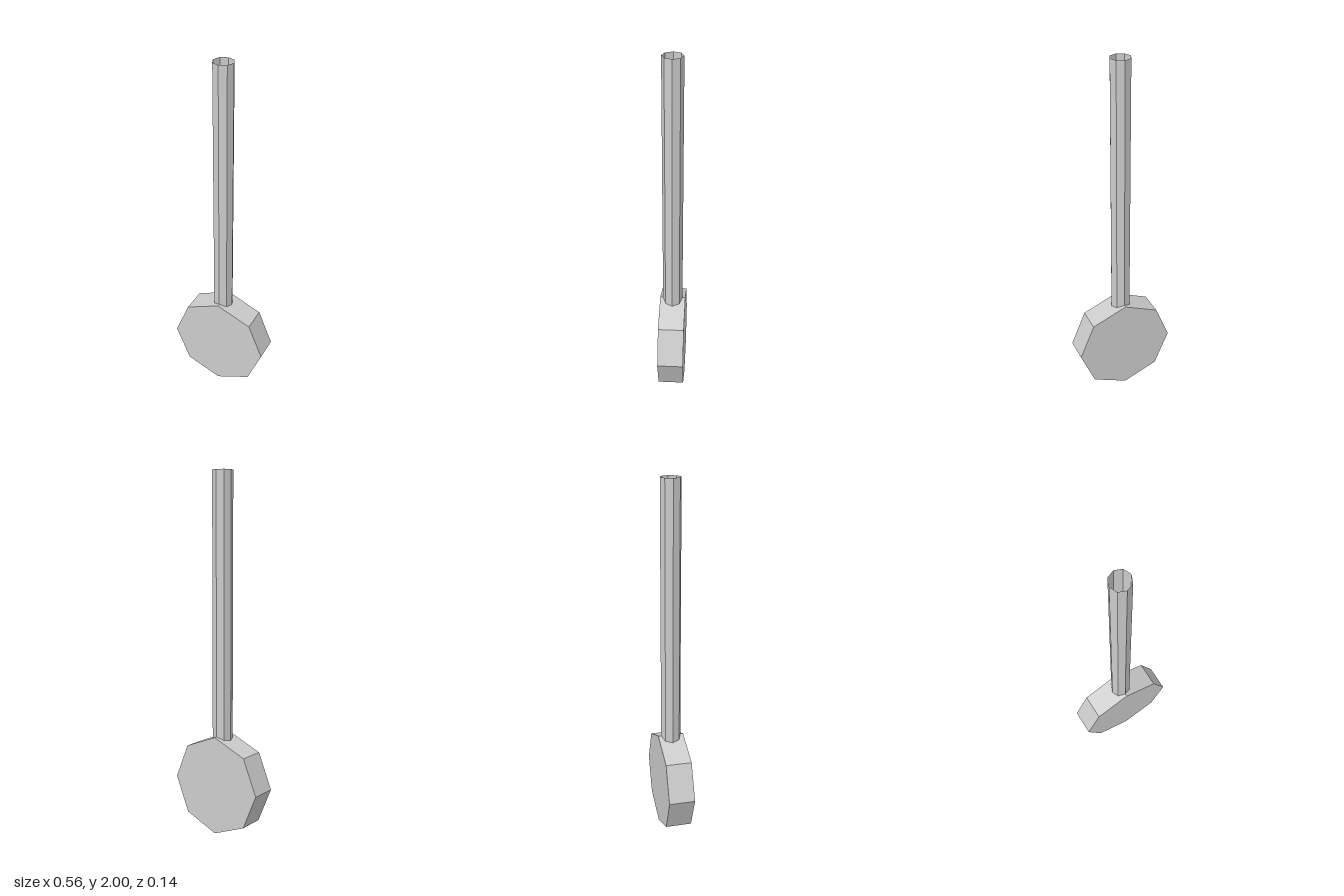
import * as THREE from 'three';

const SIDES = 8;

export function createModel() {
  const model = new THREE.Group();
  model.name = 'pendulum';

  // Octagonal disc weight, one corner pointing straight up
  const radius = 0.28, depth = 0.145;
  const bobGeometry = new THREE.CylinderGeometry(radius, radius, depth, SIDES);
  bobGeometry.rotateX(Math.PI / 2);
  const bob = new THREE.Mesh(
    bobGeometry,
    new THREE.MeshStandardMaterial({ color: 0xcccccc, flatShading: true })
  );
  bob.name = 'bob';
  bob.position.y = radius;
  model.add(bob);

  // Thin open-ended octagonal rod, rising from the middle of the weight
  const rodBottom = radius, rodTop = 2;
  const rod = new THREE.Mesh(
    new THREE.CylinderGeometry(0.056, 0.056, rodTop - rodBottom, SIDES, 1, true),
    new THREE.MeshStandardMaterial({ color: 0xcccccc, flatShading: true, side: THREE.DoubleSide })
  );
  rod.name = 'rod';
  rod.position.y = (rodBottom + rodTop) / 2;
  model.add(rod);

  return model;
}
